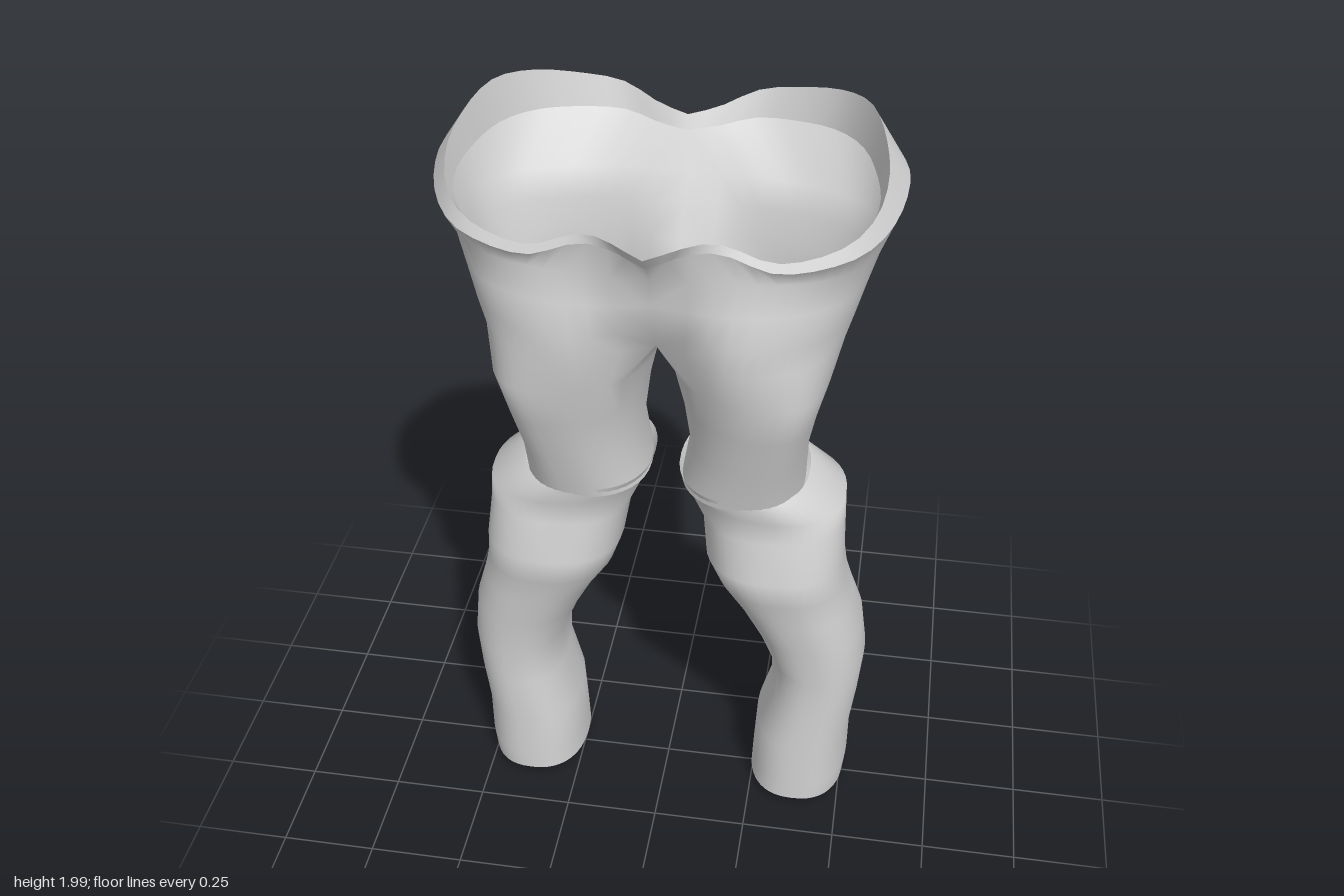
import * as THREE from 'three';
import { mergeVertices } from 'three/addons/utils/BufferGeometryUtils.js';

const OUTER = 33; // points along the outer arc of a section, front to back
const INNER = 11; // points along the inner-thigh arc, back to front
const SPLIT = 2.3; // angle where the outer arc hands over to the inner arc

const pow = (v, e) => Math.sign(v) * Math.abs(v) ** e;
const sample = (n, f) => Array.from({ length: n }, (_, i) => f(i / (n - 1)));

// Point on a rounded leg section; skew pushes its front outward:
// [y, xMin, xMax, zBack, zFront, skew, tiltX, tiltZ]
function legPoint([y, x0, x1, zb, zf, skew = 0, tx = 0, tz = 0], a) {
  const dx = ((x1 - x0) / 2) * pow(Math.cos(a), 0.85);
  const z = (zf + zb) / 2 + ((zf - zb) / 2) * pow(Math.sin(a), 0.85);
  const shift = skew * Math.max(0, Math.sin(a)) ** 2;
  return new THREE.Vector3((x0 + x1) / 2 + dx + shift, y + tx * dx + tz * z, z);
}
const outerArc = (s) => sample(OUTER, (t) => legPoint(s, SPLIT * (1 - 2 * t)));
const innerArc = (s) => sample(INNER, (t) => legPoint(s, -SPLIT - (2 * Math.PI - 2 * SPLIT) * t));

// Half section of the hips, creased at the centre: [y, halfWidth, zBack, zFront, crease]
function hipArc([y, w, zb, zf, crease]) {
  return sample(OUTER, (t) => {
    const a = Math.PI * (0.5 - t);
    const x = w * pow(Math.max(0, Math.cos(a)), 0.75);
    const s = pow(Math.sin(a), 0.75);
    const spread = s > 0 ? 0.12 : 0.09;
    const z = (s > 0 ? zf : -zb) * s * (1 - crease * Math.exp(-((x / spread) ** 2)));
    return new THREE.Vector3(x, y, z);
  });
}

// Half loop of the waist through a few points, front to back
function waistArc(points) {
  const curve = new THREE.CatmullRomCurve3(points.map((p) => new THREE.Vector3(...p)));
  return sample(OUTER, (t) => curve.getPointAt(t));
}

// Joins stacked arcs into one smooth skin; each side is 1 or -1 (mirrored)
function skin(strips, sides) {
  const pos = [];
  for (const side of sides) {
    const put = (...pts) => {
      if (side < 0) pts.reverse();
      pts.forEach((p) => pos.push(side * p.x, p.y, p.z));
    };
    for (const rings of strips) {
      for (let r = 0; r + 1 < rings.length; r++) {
        for (let i = 0; i + 1 < rings[r].length; i++) {
          const a = rings[r][i], b = rings[r][i + 1];
          const c = rings[r + 1][i + 1], d = rings[r + 1][i];
          put(a, b, c);
          put(a, c, d);
        }
      }
    }
  }
  const g = new THREE.BufferGeometry();
  g.setAttribute('position', new THREE.Float32BufferAttribute(pos, 3));
  const merged = mergeVertices(g, 1e-4);
  merged.computeVertexNormals();
  return merged;
}

export function createModel() {
  const cloth = new THREE.MeshStandardMaterial({ color: 0xd2d2d2, side: THREE.DoubleSide });
  cloth.name = 'light grey cloth';
  const group = new THREE.Group();
  group.name = 'trousers';
  const add = (name, strips, sides) => {
    const mesh = new THREE.Mesh(skin(strips, sides), cloth);
    mesh.name = name;
    group.add(mesh);
  };

  // Thighs, from the knee up to the crotch
  const thigh = [
    [1.07, 0.04, 0.352, -0.162, 0.19, 0.01],
    [1.2, 0.062, 0.355, -0.185, 0.222, 0.025],
    [1.33, 0.045, 0.378, -0.205, 0.262, 0.04],
    [1.44, 0.02, 0.405, -0.218, 0.29, 0.045],
  ];
  // Hips, from the crotch up to below the waistband
  const hips = [
    [1.53, 0.43, -0.228, 0.322, 0.42],
    [1.6, 0.45, -0.232, 0.318, 0.26],
    [1.68, 0.472, -0.24, 0.3, 0.12],
    [1.75, 0.493, -0.26, 0.272, 0],
  ].map(hipArc);
  // Waist edge, the widest line of the garment
  const edge = waistArc([
    [0, 1.81, 0.315], [0.14, 1.835, 0.28], [0.28, 1.79, 0.27], [0.43, 1.81, 0.225],
    [0.49, 1.83, 0.165], [0.53, 1.86, 0.07], [0.537, 1.89, -0.07], [0.48, 1.89, -0.205],
    [0.39, 1.885, -0.295], [0.28, 1.885, -0.342], [0.165, 1.88, -0.368], [0.07, 1.86, -0.33],
    [0, 1.84, -0.31],
  ]);
  // Crest of the waistband, leaning inward and high at the sides and back
  const crest = waistArc([
    [0, 1.845, 0.355], [0.14, 1.855, 0.275], [0.28, 1.81, 0.26], [0.42, 1.84, 0.215],
    [0.475, 1.88, 0.155], [0.495, 1.93, 0.07], [0.48, 1.975, -0.04], [0.44, 2, -0.16],
    [0.37, 1.985, -0.26], [0.27, 1.96, -0.32], [0.165, 1.935, -0.345], [0.07, 1.9, -0.31],
    [0, 1.885, -0.29],
  ]);
  // Folded-in facing that hugs the inside of the waistband
  const facing = crest.map(({ x, y, z }) =>
    new THREE.Vector3(x * 0.97, y - 0.03 - 0.6 * Math.max(0, y - 1.88), z * 0.94));

  // Crotch seam closing the inner thighs along the centre line
  const back = hips[0][OUTER - 1], front = hips[0][0];
  const seam = sample(INNER, (t) => {
    const p = back.clone().lerp(front, t);
    p.x = 0;
    p.y -= 0.04 * Math.sin(Math.PI * t);
    return p;
  });

  add('hipsAndThighs', [
    [...thigh.map(outerArc), ...hips, edge],
    [...thigh.map(innerArc), seam],
  ], [1, -1]);
  add('waistband', [[edge, crest]], [1, -1]);
  add('waistFacing', [[crest, facing]], [1, -1]);

  // Lower legs, from the hem up to the overlapping knee
  const shin = [
    [0.025, 0.245, 0.508, -0.2, 0.16, 0, 0, 0.085],
    [0.1, 0.248, 0.515, -0.196, 0.16],
    [0.23, 0.255, 0.515, -0.19, 0.158],
    [0.36, 0.292, 0.53, -0.196, 0.155],
    [0.48, 0.287, 0.54, -0.205, 0.155],
    [0.6, 0.24, 0.525, -0.19, 0.172],
    [0.7, 0.19, 0.495, -0.165, 0.186],
    [0.78, 0.14, 0.475, -0.145, 0.2],
    [0.87, 0.11, 0.465, -0.12, 0.225],
    [0.96, 0.095, 0.46, -0.14, 0.172],
    [1.04, 0.05, 0.457, -0.182, 0.19, 0, -0.08],
    [1.095, 0.033, 0.362, -0.178, 0.193, 0, -0.03],
  ];
  for (const [side, name] of [[1, 'left'], [-1, 'right']]) {
    add(name + 'LowerLeg', [shin.map(outerArc), shin.map(innerArc)], [side]);
  }
  return group;
}
